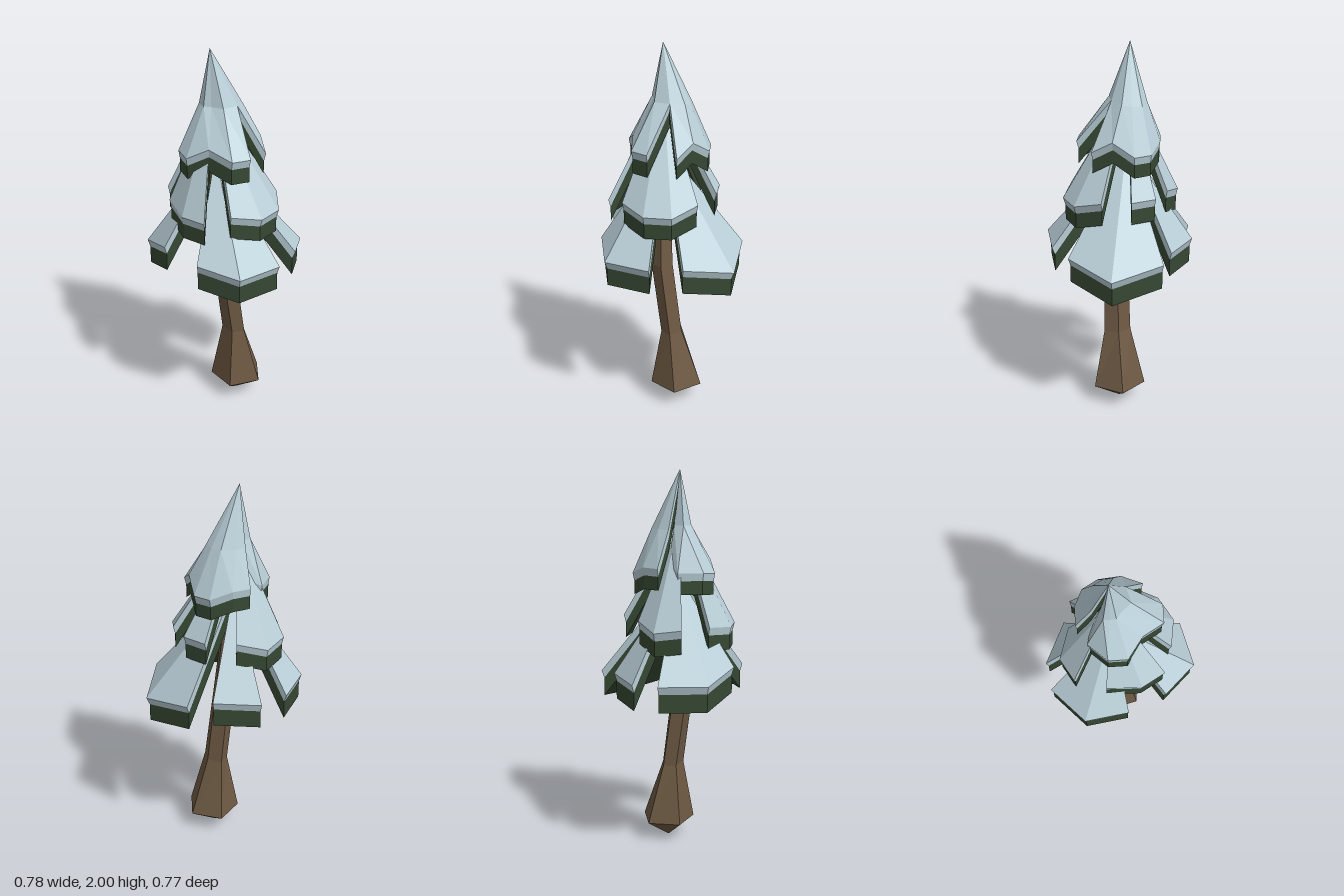
import * as THREE from 'three';

const material = (name, color) => {
  const m = new THREE.MeshStandardMaterial({ color });
  m.name = name;
  return m;
};

// Flat-shaded mesh from a list of triangles (each three [x, y, z] corners)
function facetMesh(name, tris, mat) {
  const g = new THREE.BufferGeometry();
  g.setAttribute('position', new THREE.Float32BufferAttribute(tris.flat(2), 3));
  g.computeVertexNormals();
  const mesh = new THREE.Mesh(g, mat);
  mesh.name = name;
  return mesh;
}

const quad = (a, b, c, d) => [[a, b, c], [a, c, d]];

// Fan from the tip over an optional middle row to the outer row, facing up
function fan({ tip, mid, outer }) {
  const tris = [];
  for (let i = 0; i < outer.length - 1; i++) {
    if (mid) {
      tris.push([tip, mid[i], mid[i + 1]]);
      tris.push(...quad(mid[i], outer[i], outer[i + 1], mid[i + 1]));
    } else tris.push([tip, outer[i], outer[i + 1]]);
  }
  return tris;
}

// Closed outline of one layer of a bough
const outline = ({ tip, mid, outer }) =>
  mid ? [tip, mid[0], ...outer, mid[mid.length - 1]] : [tip, ...outer];

function wall(upper, lower) {
  const a = outline(upper), b = outline(lower), tris = [];
  a.forEach((p, i) => {
    const j = (i + 1) % a.length;
    tris.push(...quad(p, b[i], b[j], a[j]));
  });
  return tris;
}

// Same layer lowered and drawn in slightly towards the tip
function lowered({ tip, mid, outer }, drop, inset) {
  const move = ([x, y, z]) =>
    [tip[0] + (x - tip[0]) * inset, y - drop, tip[2] + (z - tip[2]) * inset];
  return { tip: move(tip), mid: mid && mid.map(move), outer: outer.map(move) };
}

export function createModel() {
  const snow = material('snow', 0xbacfd8);
  const needles = material('needles', 0x364833);
  const bark = material('bark', 0x6d5943);
  const tree = new THREE.Group();
  tree.name = 'snowyPine';

  // Trunk: bent five-sided stem; rows are [x, y, z, radiusX, radiusZ]
  const rows = [
    [0.02, 0, 0.03, 0, 0],
    [0.027, 0.1, 0.033, 0.145, 0.148],
    [0, 0.42, 0.036, 0.056, 0.076],
    [-0.056, 0.82, 0.034, 0.058, 0.068],
    [-0.085, 1.7, -0.04, 0.03, 0.03],
  ].map(([x, y, z, rx, rz]) => Array.from({ length: 5 }, (_, i) => {
    const a = (i / 5) * Math.PI * 2;
    return [x + Math.cos(a) * rx, y, z - Math.sin(a) * rz];
  }));
  const trunk = [];
  for (let r = 0; r < rows.length - 1; r++) {
    for (let i = 0; i < 5; i++) {
      const j = (i + 1) % 5;
      const [a, b] = [rows[r], rows[r + 1]];
      if (r > 0) trunk.push(...quad(a[i], a[j], b[j], b[i]));
      else trunk.push([a[i], b[j], b[i]]);
    }
  }
  tree.add(facetMesh('trunk', trunk, bark));

  // A bough: snow sheet with a bevelled rim over a thick slab of needles
  function addBough(name, top, thickness) {
    const rim = lowered(top, 0.04, 0.965);
    const base = lowered(top, thickness, 0.965);
    const under = fan(base).map(([a, b, c]) => [a, c, b]);
    const bough = new THREE.Group();
    bough.name = name;
    bough.add(
      facetMesh(name + 'Snow', [...fan(top), ...wall(top, rim)], snow),
      facetMesh(name + 'Needles', [...wall(rim, base), ...under], needles));
    tree.add(bough);
  }

  // Lower tier
  const lowTip = [-0.07, 1.46, -0.03];
  const low = {
    lowerFrontBough: [[-0.345, 0.98, 0.18], [-0.225, 0.945, 0.38], [0.025, 0.945, 0.385]],
    lowerLeftBough: [[0.185, 0.95, 0.32], [0.387, 0.89, 0.13], [0.33, 0.94, -0.15]],
    lowerBackBough: [[0.215, 0.95, -0.215], [0.022, 0.94, -0.372]],
    lowerRightBough: [[-0.13, 0.95, -0.388], [-0.35, 0.95, -0.265], [-0.39, 1.01, -0.04]],
  };
  for (const [name, outer] of Object.entries(low)) addBough(name, { tip: lowTip, outer }, 0.135);

  // Middle tier
  const midTip = [-0.08, 1.76, -0.04];
  const middle = {
    middleFrontBough: [[-0.183, 1.23, 0.25], [-0.037, 1.2, 0.313], [0.103, 1.2, 0.275], [0.192, 1.24, 0.148]],
    middleLeftBough: [[0.233, 1.25, 0], [0.2, 1.25, -0.132]],
    middleBackBough: [[0.068, 1.24, -0.22], [-0.067, 1.2, -0.308], [-0.205, 1.22, -0.272]],
    middleRightBough: [[-0.292, 1.22, -0.13], [-0.336, 1.2, 0.045], [-0.297, 1.2, 0.18]],
  };
  for (const [name, outer] of Object.entries(middle)) addBough(name, { tip: midTip, outer }, 0.12);

  // Peak: three boughs with a kinked slope sharing one point
  const peak = [-0.085, 2, -0.05];
  addBough('peakFrontBough', {
    tip: peak,
    mid: [[-0.115, 1.72, 0], [-0.085, 1.72, 0.06], [0, 1.72, 0.06]],
    outer: [[-0.195, 1.54, 0.085], [-0.145, 1.5, 0.21], [-0.05, 1.5, 0.235]],
  }, 0.12);
  addBough('peakLeftBough', {
    tip: peak,
    mid: [[0, 1.72, 0.06], [0.065, 1.71, 0.02], [0.075, 1.7, -0.03], [0.06, 1.7, -0.085],
      [0, 1.7, -0.125], [-0.06, 1.7, -0.13]],
    outer: [[0.09, 1.48, 0.18], [0.135, 1.54, 0.08], [0.182, 1.47, -0.025], [0.155, 1.47, -0.115],
      [0.06, 1.51, -0.18], [-0.035, 1.51, -0.203]],
  }, 0.11);
  addBough('peakRightBough', {
    tip: peak,
    mid: [[-0.07, 1.72, -0.085], [-0.125, 1.72, -0.09], [-0.135, 1.72, -0.06], [-0.14, 1.72, -0.03],
      [-0.115, 1.72, 0]],
    outer: [[-0.06, 1.53, -0.13], [-0.135, 1.49, -0.175], [-0.245, 1.49, -0.105], [-0.265, 1.48, -0.01],
      [-0.195, 1.54, 0.085]],
  }, 0.11);

  return tree;
}
